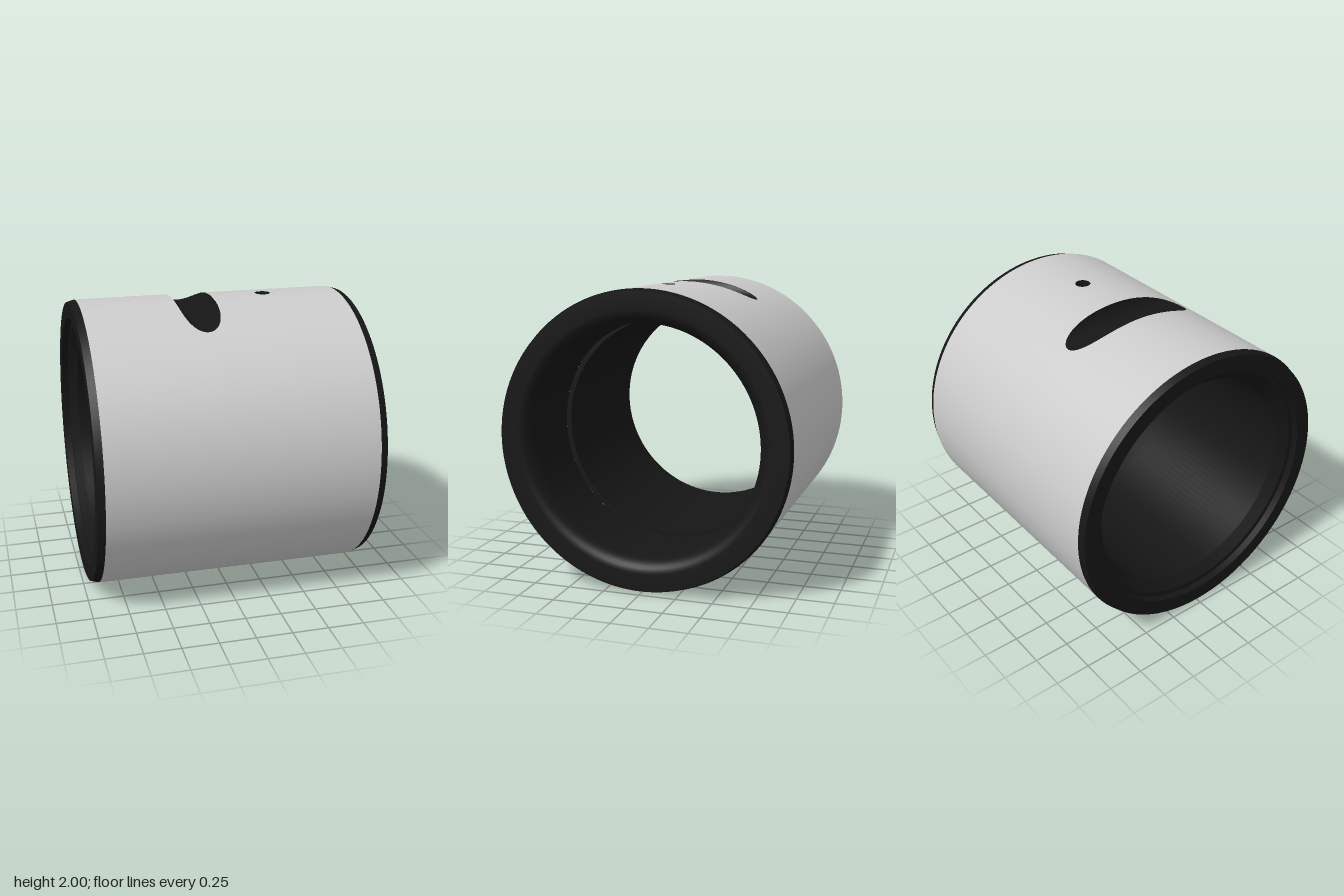
import * as THREE from 'three';
import { toCreasedNormals } from 'three/addons/utils/BufferGeometryUtils.js';

const HALF = 0.97, BEVEL_X = 0.92, BORE = 0.775;
const slot = { x: -0.13, y: 1.01, r: 0.14 };            // round cutter running along z
const hole = { x: 0.385, r: 0.053 };                    // cross-drilled along y
const oil = { x0: 0.31, x1: 0.46, r: 0.81 };            // ring groove inside the bore

const steel = new THREE.MeshStandardMaterial({ color: 0xcccccc });
const dark = new THREE.MeshStandardMaterial({ color: 0x161616, side: THREE.DoubleSide });

// Surface from a point rule over rows and columns
function grid(rows, cols, point) {
  const pos = [], idx = [];
  for (let i = 0; i <= rows; i++) for (let j = 0; j <= cols; j++) pos.push(...point(i, j));
  for (let i = 0; i < rows; i++) for (let j = 0; j < cols; j++) {
    const a = i * (cols + 1) + j, b = a + cols + 1;
    idx.push(a, b, a + 1, b, b + 1, a + 1);
  }
  const g = new THREE.BufferGeometry();
  g.setAttribute('position', new THREE.Float32BufferAttribute(pos, 3));
  g.setIndex(idx);
  g.computeVertexNormals();
  return g;
}

// Angles around the axis (0 = top), denser where the slots and holes end
function angles() {
  const slotEnd = Math.acos(slot.y - slot.r), holeEnd = Math.asin(hole.r / oil.r);
  const holeOuter = Math.asin(hole.r);
  const q = [];
  for (let k = 0; k <= 10; k++) {
    const s = Math.sin(k / 10 * Math.PI / 2);
    q.push(holeEnd * s, holeOuter * s);
  }
  for (let k = 0; k <= 32; k++) q.push(slotEnd * Math.sin(k / 32 * Math.PI / 2));
  for (let k = 1; k <= 36; k++) q.push(slotEnd + (Math.PI / 2 - slotEnd) * k / 36);
  const half = [...q, ...q.map(a => Math.PI - a)];
  const all = [...half, ...half.map(a => 2 * Math.PI - a)].sort((a, b) => a - b);
  return all.filter((a, i) => i === 0 || a - all[i - 1] > 1e-5);
}
const ANG = angles();

// Half widths of the openings at a given angle
const root = v => Math.sqrt(Math.max(0, v));
const slotHalf = t => root(slot.r ** 2 - (slot.y - Math.abs(Math.cos(t))) ** 2);
const holeHalf = (t, R) => root(hole.r ** 2 - (R * Math.sin(t)) ** 2);

// Band of a cylinder about x, between two edges that vary with the angle
function band(R, left, right, sign = 1) {
  const g = grid(ANG.length - 1, 1, (i, j) => {
    const t = ANG[i];
    const x = (j === 0) === (sign > 0) ? left(t) : right(t);
    return [x, R * Math.cos(t), R * Math.sin(t)];
  });
  const p = g.attributes.position, n = g.attributes.normal;
  for (let i = 0; i < p.count; i++) n.setXYZ(i, 0, sign * p.getY(i) / R, sign * p.getZ(i) / R);
  return g;
}

// Turned surface about x; profile given as [radius, x]
function turned(profile) {
  const g = new THREE.LatheGeometry(profile.map(p => new THREE.Vector2(...p)), 128);
  g.rotateZ(-Math.PI / 2);
  return toCreasedNormals(g, 0.35);
}

export function createModel() {
  const group = new THREE.Group();
  const bushing = new THREE.Group();
  bushing.position.y = 1;
  group.add(bushing);
  const add = (name, geometry, material) => {
    const m = new THREE.Mesh(geometry, material);
    m.name = name;
    bushing.add(m);
    return m;
  };

  // Outer wall in three bands around the slots and drilled holes
  add('outerWallRight', band(1, () => -BEVEL_X, t => slot.x - slotHalf(t)), steel);
  add('outerWallMiddle', band(1, t => slot.x + slotHalf(t), t => hole.x - holeHalf(t, 1)), steel);
  add('outerWallLeft', band(1, t => hole.x + holeHalf(t, 1), () => BEVEL_X), steel);

  // Left end: bevel, face, rounded lead-in, bore and step into the oil groove
  const leadIn = [];
  for (let k = 0; k <= 8; k++) {
    const a = k / 8 * Math.PI / 2;
    leadIn.push([BORE + 0.09 * (1 - Math.sin(a)), HALF - 0.13 * (1 - Math.cos(a))]);
  }
  add('leftEndAndBore', turned([
    [1, BEVEL_X], [0.985, HALF], ...leadIn, [BORE, oil.x1], [oil.r, oil.x1],
  ]), dark);

  // Right end: step out of the oil groove, bore, stepped mouth, face and bevel
  add('rightEndAndBore', turned([
    [oil.r, oil.x0], [BORE, oil.x0], [BORE, -HALF + 0.11], [0.84, -HALF + 0.05],
    [0.875, -HALF + 0.05], [0.875, -HALF], [0.985, -HALF], [1, -BEVEL_X],
  ]), dark);

  // Oil groove floor, pierced by the drilled holes
  add('oilGrooveRight', band(oil.r, () => oil.x0, t => hole.x - holeHalf(t, oil.r), -1), dark);
  add('oilGrooveLeft', band(oil.r, t => hole.x + holeHalf(t, oil.r), () => oil.x1, -1), dark);

  // Cross slot floor: arc of the cutter, ending on the outer wall
  const a0 = Math.asin((slot.y - 1) / slot.r);
  const slotFloor = grid(40, 1, (i, j) => {
    const a = a0 + (Math.PI - 2 * a0) * i / 40;
    const y = slot.y - slot.r * Math.sin(a);
    return [slot.x - slot.r * Math.cos(a), y, (j ? -1 : 1) * root(1 - y * y)];
  });
  // Wall of the drilled hole, from outer wall to oil groove
  const holeWall = grid(40, 1, (i, j) => {
    const a = i / 40 * Math.PI * 2, z = hole.r * Math.sin(a), R = j ? oil.r : 1;
    return [hole.x + hole.r * Math.cos(a), root(R * R - z * z), z];
  });
  for (const [side, turn] of [['top', 0], ['bottom', Math.PI]]) {
    add(side + 'Slot', slotFloor, dark).rotation.x = turn;
    add(side + 'OilHole', holeWall, dark).rotation.x = turn;
  }
  return group;
}
